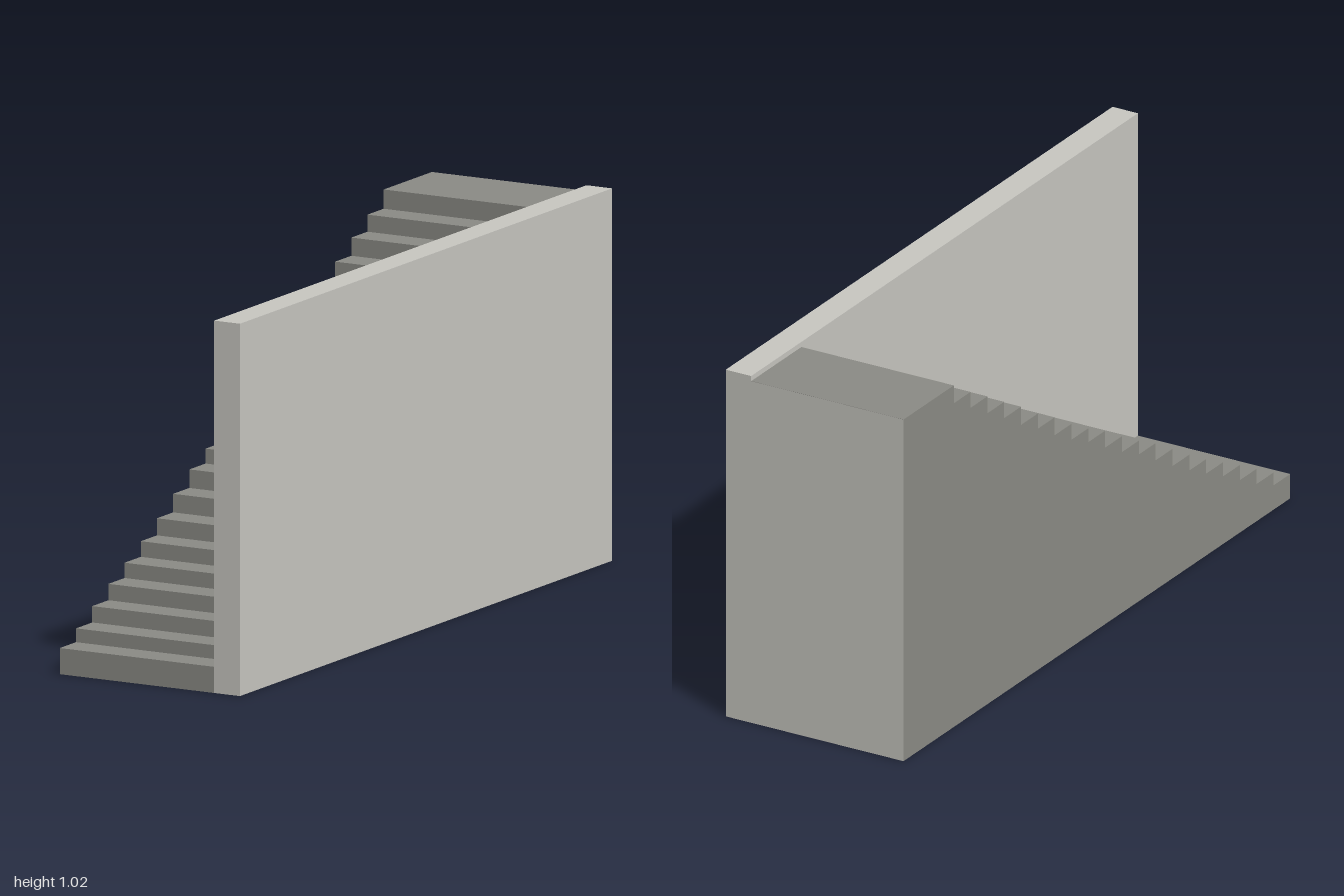
import * as THREE from 'three';

export function createModel() {
  const group = new THREE.Group();
  const wallStone = new THREE.MeshStandardMaterial({ color: 0xc9c8c2 });
  const stairStone = new THREE.MeshStandardMaterial({ color: 0x8c8c86 });

  const add = (name, geometry, material, x = 0, y = 0, z = 0) => {
    const mesh = new THREE.Mesh(geometry, material);
    mesh.name = name;
    mesh.position.set(x, y, z);
    group.add(mesh);
    return mesh;
  };

  const left = 0.28, inner = 0.2, width = inner + left;
  const tread = 0.087;
  // slightly uneven tread heights, bottom step to landing
  const heights = [0.072, 0.11, 0.155, 0.2, 0.242, 0.285, 0.332, 0.383, 0.434, 0.475, 0.522,
    0.572, 0.613, 0.66, 0.713, 0.758, 0.812, 0.86, 0.91, 0.957, 1.01];

  // solid flight of steps: side profile (along -z, up) extruded across x
  const profile = new THREE.Shape();
  profile.moveTo(-1, 0);
  heights.forEach((h, i) => {
    const last = i === heights.length - 1;
    profile.lineTo(-1 + i * tread, h);
    profile.lineTo(last ? 0.999 : -1 + (i + 1) * tread, h);
  });
  profile.lineTo(0.999, 0);
  profile.closePath();
  const steps = new THREE.ExtrudeGeometry(profile, { depth: width, bevelEnabled: false });
  steps.rotateY(Math.PI / 2);
  add('steps', steps, stairStone, -left);

  // side wall, slightly taller than the landing
  add('sideWall', new THREE.BoxGeometry(left - inner, 1.025, 2), wallStone, (left + inner) / 2, 1.025 / 2, 0);

  // pale facing behind the landing
  const top = heights[heights.length - 1];
  add('backFacing', new THREE.PlaneGeometry(width, top).rotateY(Math.PI), wallStone, (inner - left) / 2, top / 2, -1);

  return group;
}
